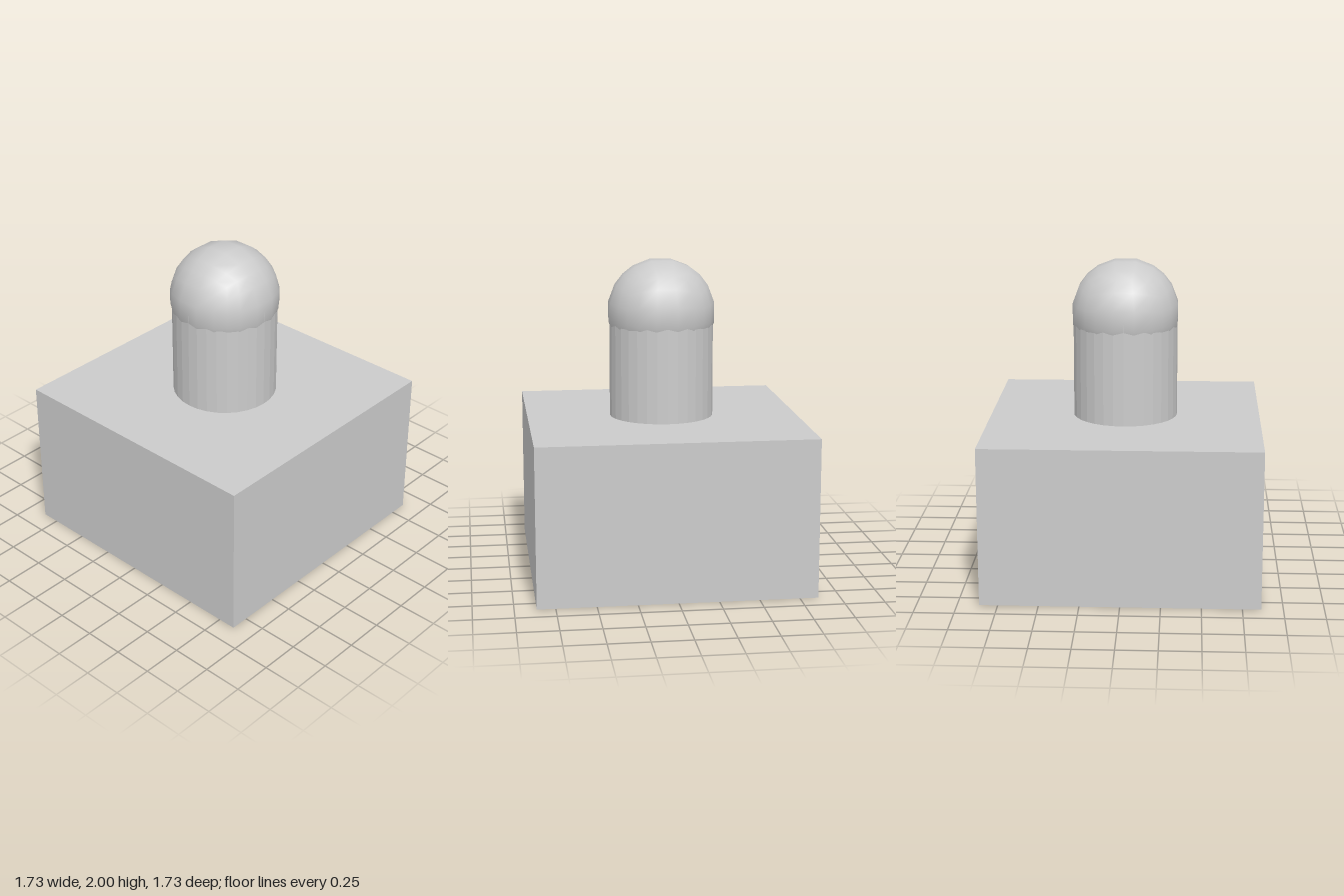
import * as THREE from 'three';

export function createModel() {
  const model = new THREE.Group();
  const smooth = new THREE.MeshStandardMaterial({ color: 0xcccccc });
  const faceted = new THREE.MeshStandardMaterial({ color: 0xcccccc, flatShading: true });

  const add = (name, geometry, material, y) => {
    const mesh = new THREE.Mesh(geometry, material);
    mesh.name = name;
    mesh.position.y = y;
    model.add(mesh);
  };

  // Square block
  add('base', new THREE.BoxGeometry(1.73, 1, 1.73), faceted, 0.5);

  // Upright post, ending at the centre of the cap
  add('post', new THREE.CylinderGeometry(0.333, 0.333, 0.667, 32), faceted, 1.333);

  // Ball cap: a subdivided cube pushed out onto a sphere
  const ball = new THREE.BoxGeometry(2, 2, 2, 5, 5, 5);
  const { position, normal } = ball.attributes;
  const v = new THREE.Vector3();
  for (let i = 0; i < position.count; i++) {
    v.fromBufferAttribute(position, i).normalize();
    normal.setXYZ(i, v.x, v.y, v.z);
    v.multiplyScalar(0.346);
    position.setXYZ(i, v.x, v.y, v.z);
  }
  add('cap', ball, smooth, 1.667);

  return model;
}
